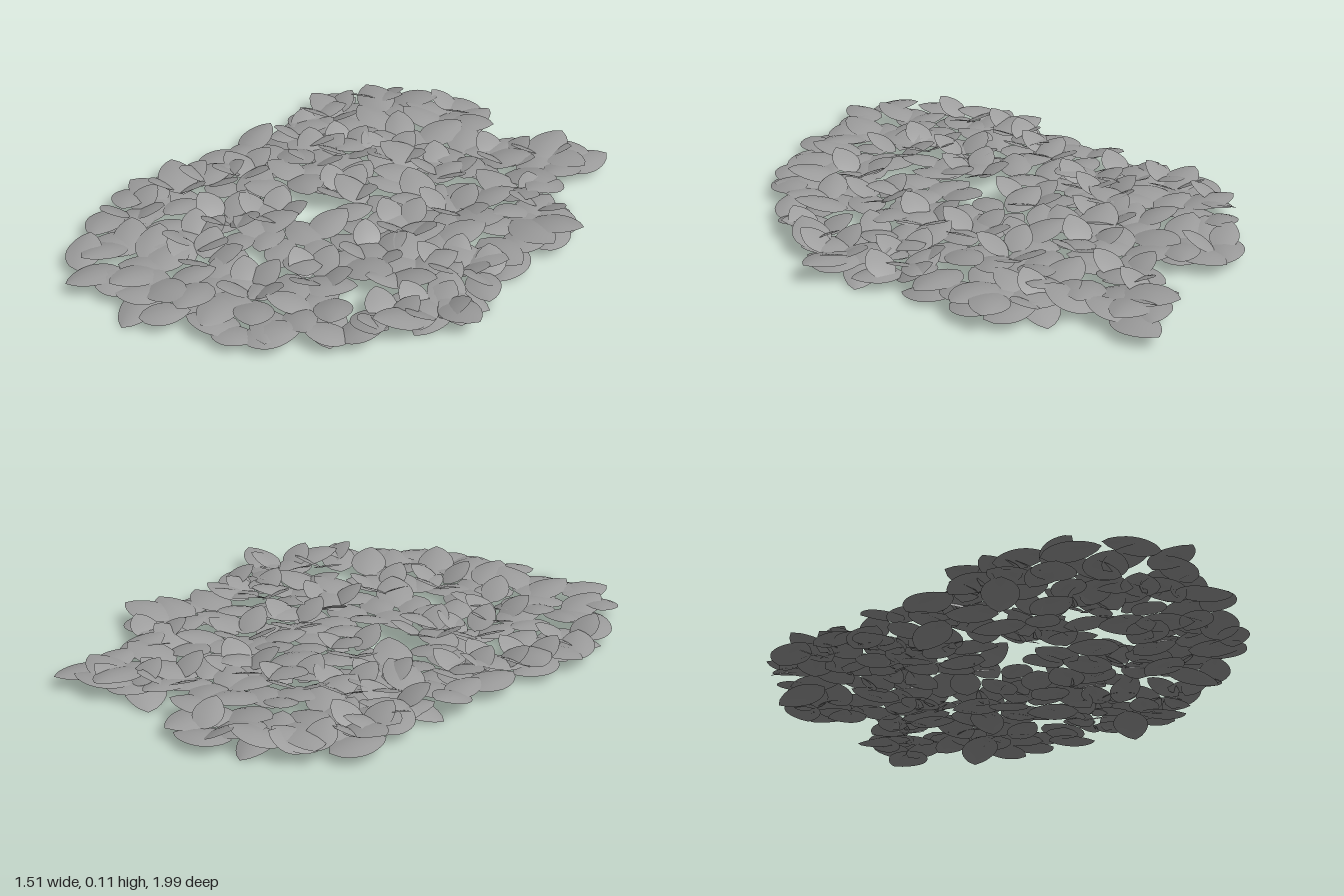
import * as THREE from 'three';
import { mergeGeometries } from 'three/addons/utils/BufferGeometryUtils.js';

// Small seeded generator
let seed = 7;
const rnd = () => {
  seed = (seed * 16807) % 2147483647;
  return seed / 2147483647;
};
const range = (a, b) => a + (b - a) * rnd();

// Leaf tips around the edge of the patch (x, z)
const OUTLINE = [
  [0.37, -0.99], [0.39, -0.83], [0.38, -0.68], [0.48, -0.64], [0.65, -0.5], [0.63, -0.36], [0.62, -0.2],
  [0.67, 0.02], [0.755, 0.17], [0.62, 0.31], [0.56, 0.46], [0.44, 0.55], [0.32, 0.73], [0.11, 0.82],
  [0, 0.83], [-0.13, 0.97], [-0.28, 0.9], [-0.4, 0.995], [-0.55, 0.8], [-0.66, 0.66], [-0.755, 0.44],
  [-0.73, 0.26], [-0.64, 0.02], [-0.68, -0.16], [-0.68, -0.36], [-0.72, -0.46], [-0.63, -0.68],
  [-0.43, -0.82], [-0.17, -0.92], [-0.05, -0.81], [0.02, -0.62], [0.02, -0.85], [0.18, -0.95],
];

// Centres of the steep leading leaf of each rosette (x, z)
const ROSETTES = [
  [-0.6, -0.38], [-0.57, -0.6], [-0.2, -0.33], [-0.36, -0.23], [-0.03, -0.4], [0.23, -0.23], [0.1, -0.62],
  [0.15, -0.76], [0.37, -0.5], [-0.57, -0.2], [-0.15, -0.02], [-0.41, -0.12], [-0.54, 0.15], [0.17, 0.17],
  [0.16, -0.02], [0.18, 0.42], [0.58, -0.02], [0.46, 0.03], [0.58, 0.27], [0.5, 0.41], [-0.2, 0.27],
  [-0.31, 0.4], [-0.32, 0.56], [-0.63, 0.38], [-0.6, 0.25], [-0.61, 0.62], [0.04, 0.62], [-0.22, -0.78],
  [-0.17, 0.62],
];

// Bare spots (x, z, radius)
const GAPS = [[-0.14, 0.04, 0.05], [-0.25, 0.08, 0.05], [-0.25, 0.47, 0.05], [0.38, 0.34, 0.05], [-0.02, 0.42, 0.04], [-0.42, 0.32, 0.05]];

function inside(x, z) {
  let hit = false;
  OUTLINE.forEach(([ax, az], i) => {
    const [bx, bz] = OUTLINE[(i + 1) % OUTLINE.length];
    if ((az > z) !== (bz > z) && x < ax + ((z - az) / (bz - az)) * (bx - ax)) hit = !hit;
  });
  return hit;
}

// One unit leaf along +x: rounded base, pointed tip, arched blade
function leafBlade(width, arch) {
  const g = new THREE.PlaneGeometry(1, 1, 10, 4).rotateX(-Math.PI / 2).translate(0.5, 0, 0);
  const p = g.attributes.position;
  for (let i = 0; i < p.count; i++) {
    const t = p.getX(i);
    const v = p.getZ(i) * 2;
    const half = 0.5 * width * Math.pow(Math.max(0, Math.sin(Math.PI * Math.pow(t, 0.88))), 0.68);
    p.setXYZ(i, t, arch * (1 - v * v) * Math.sin(Math.PI * t), v * half);
  }
  g.computeVertexNormals();
  return g;
}

// Places a blade by its base, heading in the ground plane, and the heights of base and tip
function placeLeaf(blade, x, z, heading, length, baseY, tipY, roll) {
  const tilt = Math.asin((tipY - baseY) / length);
  const turn = new THREE.Quaternion().setFromEuler(new THREE.Euler(roll, -heading, tilt, 'YZX'));
  const m = new THREE.Matrix4().compose(new THREE.Vector3(x, baseY, z), turn, new THREE.Vector3(length, length, length));
  return blade.clone().applyMatrix4(m);
}

export function createModel() {
  seed = 7;
  const group = new THREE.Group();
  group.name = 'groundCover';
  const material = new THREE.MeshStandardMaterial({ color: 0x9c9c9c, side: THREE.DoubleSide });
  const broad = leafBlade(0.68, 0.06);
  const round = leafBlade(0.8, 0.04);
  const add = (name, leaves) => {
    const mesh = new THREE.Mesh(mergeGeometries(leaves), material);
    mesh.name = name;
    group.add(mesh);
  };

  // Edge leaves: tips on the outline, pointing outward; every fourth droops to the ground
  const edge = [];
  OUTLINE.forEach(([x, z], i) => {
    const n = OUTLINE.length;
    const [px, pz] = OUTLINE[(i + n - 1) % n];
    const [qx, qz] = OUTLINE[(i + 1) % n];
    const heading = Math.atan2(px - qx, qz - pz) + range(-0.25, 0.25);
    const length = range(0.19, 0.22);
    const droop = i % 4 === 3;
    const tipY = droop ? 0.002 : range(0.035, 0.085);
    const baseY = droop ? 0.045 : range(0.035, 0.06);
    const reach = Math.sqrt(length ** 2 - (tipY - baseY) ** 2);
    edge.push(placeLeaf(broad, x - Math.cos(heading) * reach, z - Math.sin(heading) * reach, heading, length, baseY, tipY, range(-0.1, 0.1)));
  });
  add('edgeLeaves', edge);

  // Low leaves: a jittered staggered grid that fills the patch
  const low = [];
  const step = 0.108;
  for (let row = 0; row < 19; row++) {
    for (let col = 0; col < 15; col++) {
      const cx = -0.76 + (col + (row % 2) / 2) * step + range(-0.03, 0.03);
      const cz = -0.97 + row * step + range(-0.03, 0.03);
      const length = range(0.16, 0.21);
      let heading = range(0, Math.PI * 2);
      const fits = (a) => [-0.5, 0, 0.5].every((s) => inside(cx + Math.cos(a) * length * s, cz + Math.sin(a) * length * s));
      for (let k = 0; k < 8 && !fits(heading); k++) heading += 0.8;
      if (!fits(heading) || GAPS.some(([x, z, r]) => Math.hypot(cx - x, cz - z) < r + 0.035)) continue;
      const x = cx - Math.cos(heading) * length / 2;
      const z = cz - Math.sin(heading) * length / 2;
      const tipY = rnd() < 0.04 ? 0.008 : range(0.035, 0.09);
      low.push(placeLeaf(broad, x, z, heading, length, range(0.034, 0.045), tipY, range(-0.08, 0.08)));
    }
  }
  add('lowLeaves', low);

  // Rosettes: one steep leaf rising toward the front, with lower companions spread behind and beside it
  const upright = [];
  for (const [x, z] of ROSETTES) {
    const first = Math.PI / 2 + range(-0.5, 0.5);
    const bx = x - Math.cos(first) * 0.055;
    const bz = z - Math.sin(first) * 0.055;
    upright.push(placeLeaf(round, bx, bz, first, 0.135, 0.04, 0.107, range(-0.06, 0.06)));
    for (const side of [-1.9, 1.9, Math.PI]) {
      const heading = first + side + range(-0.25, 0.25);
      const dx = Math.cos(heading);
      const dz = Math.sin(heading);
      if (!inside(bx + dx * 0.15, bz + dz * 0.15)) continue;
      upright.push(placeLeaf(round, bx + dx * 0.025, bz + dz * 0.025, heading, range(0.125, 0.14), 0.035, range(0.085, 0.102), range(-0.08, 0.08)));
    }
  }
  add('uprightLeaves', upright);
  return group;
}
